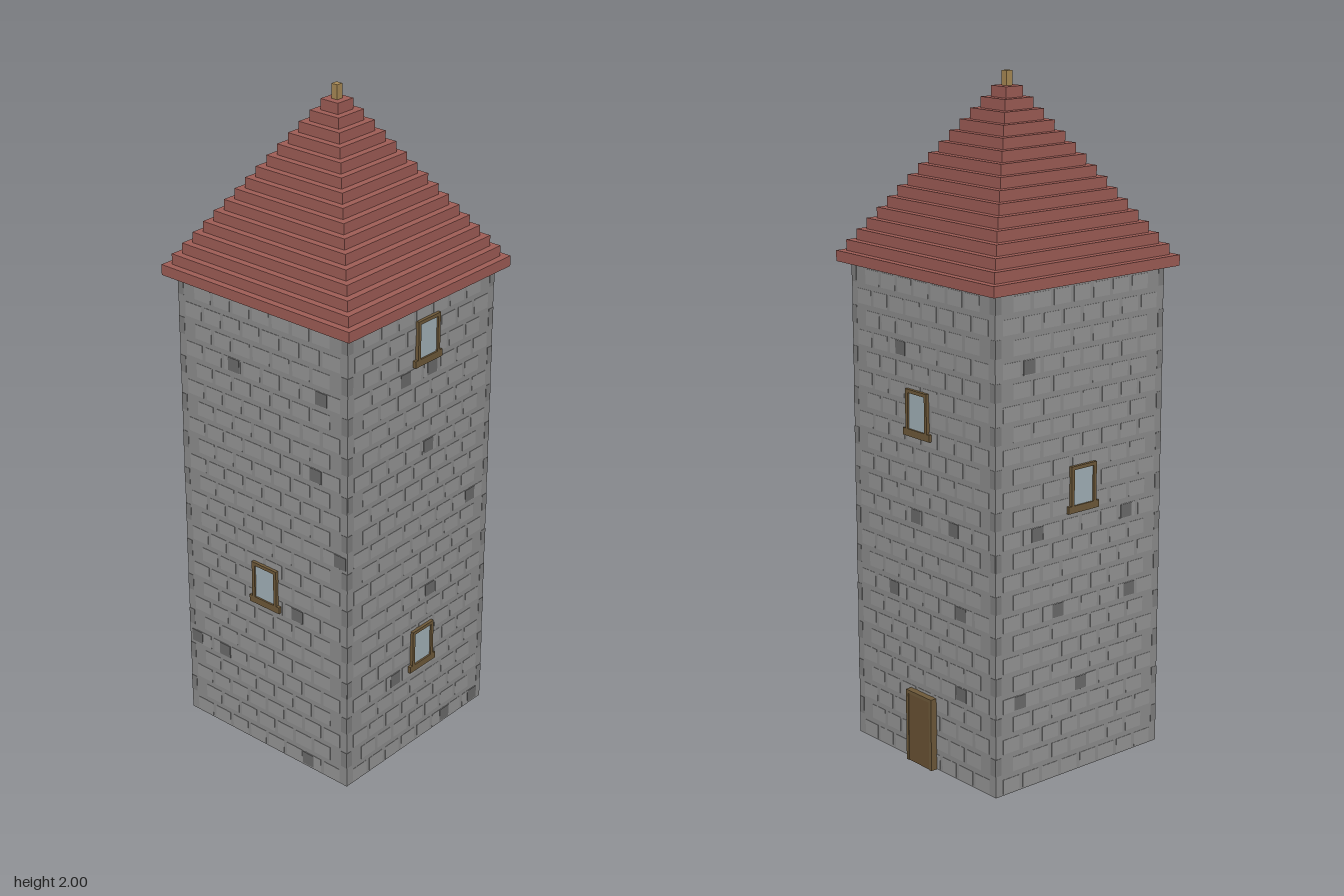
import * as THREE from 'three';
import { mergeGeometries } from 'three/addons/utils/BufferGeometryUtils.js';

const U = 2 / 190;            // one grid unit of the blocky tower
const HALF = 30, WALL_H = 138; // wall half width and height in units

const mat = (color) => new THREE.MeshStandardMaterial({ color });
const M = {
  wall: mat(0x8e8e8e), light: mat(0x979797), shade: mat(0x7f7f7f), dark: mat(0x6c6c6c),
  roof: mat(0x9f5d56), wood: mat(0x6f5a3a), door: mat(0x6a5234), glass: mat(0xa3b3ba), brass: mat(0xa98a55),
};

// Box in units: centre x, bottom y, back z, then its size
function box(x, y, z, w, h, d) {
  return new THREE.BoxGeometry(w * U, h * U, d * U).translate(x * U, (y + h / 2) * U, (z + d / 2) * U);
}

function add(parent, name, material, boxes) {
  const mesh = new THREE.Mesh(boxes.length > 1 ? mergeGeometries(boxes) : boxes[0], material);
  mesh.name = name;
  parent.add(mesh);
  return mesh;
}

// Framed window with a wider sill; x is the centre, y the underside of the sill
function addWindow(wall, x, y) {
  const win = new THREE.Group();
  win.name = 'window';
  add(win, 'windowFrame', M.wood, [
    box(x - 4, y + 2, HALF, 1, 11, 1),
    box(x + 4, y + 2, HALF, 1, 11, 1),
    box(x, y + 12, HALF, 7, 1, 1),
  ]);
  add(win, 'windowSill', M.wood, [box(x, y, HALF, 11, 2, 1)]);
  add(win, 'windowGlass', M.glass, [box(x, y + 2, HALF, 7, 10, 0.5)]);
  wall.add(win);
}

function addDoor(wall, x) {
  add(wall, 'door', M.door, [box(x, 0, HALF, 9, 20, 1.8)]);
  add(wall, 'doorFrame', M.wood, [
    box(x - 5, 0, HALF, 1, 21, 2),
    box(x + 5, 0, HALF, 1, 21, 2),
    box(x, 20, HALF, 9, 1, 2),
  ]);
}

// Courses of faint stones, shaded corner stones and scattered dark stones
function addMasonry(wall, darkStones) {
  const light = [], corner = [];
  const courses = 24, pitch = WALL_H / courses, skin = 0.1;
  for (let r = 0; r < courses; r++) {
    const y = r * pitch + 0.4;
    const shift = (r % 2) * 3.5;
    for (let x = -24.5 + shift; x < 27; x += 7) light.push(box(x, y, HALF, 5.8, pitch - 1.6, skin));
    if (r % 2) for (const s of [-1, 1]) corner.push(box(s * 29, y, HALF, 2, pitch - 0.8, skin));
  }
  add(wall, 'stoneCourses', M.light, light);
  add(wall, 'cornerStones', M.shade, corner);
  add(wall, 'darkStones', M.dark, darkStones.map(([x, row]) =>
    box(x, row * 23 + 0.6, HALF, 4, 3.8, skin * 2)));
}

// Each wall is laid out facing +z and then turned into place.
// stones: [x, row], windows: [x, y]
const WALLS = [
  { name: 'frontWall', turn: 0, windows: [[0.5, 47]],
    stones: [[-10, 5], [21, 5], [19, 4], [27.5, 3], [12, 2], [-27, 1], [-16, 1], [15.7, 0]] },
  { name: 'leftWall', turn: 1, windows: [[1.5, 120], [1.5, 25]],
    stones: [[-7, 5], [4, 5], [3, 4], [22, 3], [5, 2], [-9.5, 1], [13, 0], [26, 0]] },
  { name: 'backWall', turn: 2, windows: [[-1.5, 94]], door: -0.5,
    stones: [[-9, 5], [-3, 3], [13, 3], [-13, 2], [16, 2], [16, 1]] },
  { name: 'rightWall', turn: -1, windows: [[0.5, 75]],
    stones: [[-18.5, 5], [17, 3], [-15.5, 3], [18.5, 2], [-8, 2], [-21.5, 1], [0.5, 1]] },
];

export function createModel() {
  const tower = new THREE.Group();
  tower.name = 'tower';

  add(tower, 'towerBody', M.wall, [box(0, 0, -HALF, 2 * HALF, WALL_H, 2 * HALF)]);

  for (const { name, turn, windows, stones, door } of WALLS) {
    const wall = new THREE.Group();
    wall.name = name;
    wall.rotation.y = turn * Math.PI / 2;
    addMasonry(wall, stones);
    for (const [x, y] of windows) addWindow(wall, x, y);
    if (door !== undefined) addDoor(wall, door);
    tower.add(wall);
  }

  // Stepped pyramid roof
  const roof = new THREE.Group();
  roof.name = 'roof';
  for (let i = 0; i < 16; i++) {
    const half = 33 - 2 * i;
    add(roof, 'roofStep', M.roof, [box(0, WALL_H + 3 * i, -half, 2 * half, 3, 2 * half)]);
  }
  tower.add(roof);

  add(tower, 'finial', M.brass, [box(0, WALL_H + 48, -1, 2, 4, 2)]);
  return tower;
}
